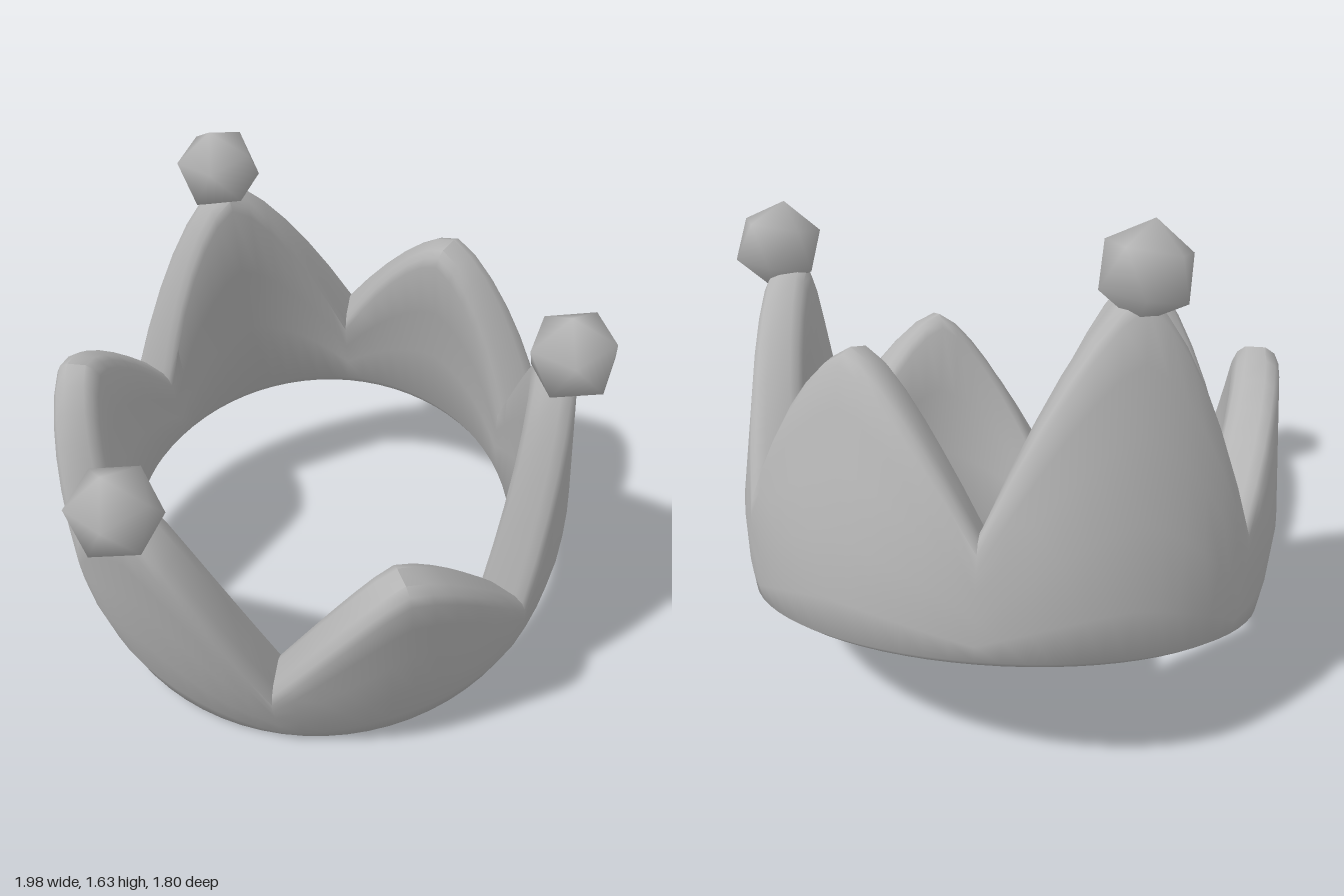
import * as THREE from 'three';
import { toCreasedNormals } from 'three/addons/utils/BufferGeometryUtils.js';

const PETALS = 6, STEPS = 12, VALLEY = 0.36;
const TALL = 1.03, SHORT = 0.83;

// Height of the crest at an angle: tall points at 30, 150, 270 degrees, short ones between
function crestHeight(i) {
  const petal = Math.floor(i / STEPS) % PETALS;
  const t = Math.abs((i % STEPS) / STEPS * 2 - 1);
  const tip = petal % 2 === 0 ? TALL : SHORT;
  return VALLEY + (tip - VALLEY) * (1 - Math.pow(t, 1.45));
}

// Outer radius of the slightly barrelled wall
function outerRadius(h) {
  if (h < 0.27) return THREE.MathUtils.lerp(0.835, 0.87, Math.max(h, 0) / 0.27);
  return THREE.MathUtils.lerp(0.87, 0.83, (h - 0.27) / 0.76);
}

// Cross-section of the wall, from the inner foot round the outside and back down
function section(H) {
  const pts = [[0.685, 0.04], [0.71, -0.01], [0.79, -0.02], [0.825, 0.0]];
  const top = H - 0.05;
  for (const f of [0.15, 0.4, 0.65, 0.85, 1]) pts.push([outerRadius(top * f), top * f]);
  const ro = outerRadius(top);
  pts.push([ro - 0.015, H - 0.018], [ro - 0.045, H], [0.735, H], [0.71, H - 0.018], [0.695, top]);
  for (const f of [0.7, 0.4]) pts.push([0.695, top * f]);
  return pts;
}

function wallGeometry() {
  const pos = [], idx = [], N = PETALS * STEPS;
  let M = 0;
  for (let i = 0; i < N; i++) {
    const a = i / N * Math.PI * 2;
    const pts = section(crestHeight(i));
    M = pts.length;
    for (const [r, h] of pts) pos.push(Math.sin(a) * r, h, Math.cos(a) * r);
  }
  for (let i = 0; i < N; i++) {
    for (let j = 0; j < M; j++) {
      const k = (i + 1) % N, l = (j + 1) % M;
      const a = i * M + j, b = k * M + j, c = i * M + l, d = k * M + l;
      idx.push(a, b, c, b, d, c);
    }
  }
  const g = new THREE.BufferGeometry();
  g.setAttribute('position', new THREE.Float32BufferAttribute(pos, 3));
  g.setIndex(idx);
  return toCreasedNormals(g, 0.9);
}

// Coarse ball with smooth shading
function ballGeometry() {
  const g = new THREE.IcosahedronGeometry(0.145, 0);
  const p = g.attributes.position, n = g.attributes.normal, v = new THREE.Vector3();
  for (let i = 0; i < p.count; i++) {
    v.fromBufferAttribute(p, i).normalize();
    n.setXYZ(i, v.x, v.y, v.z);
  }
  return g;
}

export function createModel() {
  const grey = new THREE.MeshStandardMaterial({ color: 0xb4b4b4 });
  grey.name = 'grey';
  const model = new THREE.Group();
  model.name = 'crown';

  // Tilted frame of the crown
  const up = new THREE.Vector3(-0.28, 1, 0.15).normalize();
  const side = new THREE.Vector3(0.963, 0.27, 0).normalize();
  const front = new THREE.Vector3().crossVectors(side, up).normalize();
  side.crossVectors(up, front);
  const frame = new THREE.Matrix4().makeBasis(side, up, front).setPosition(0.19, 0.262, -0.06);

  // Band with six points
  const band = new THREE.Mesh(wallGeometry(), grey);
  band.name = 'band';
  band.quaternion.setFromRotationMatrix(frame);
  band.position.setFromMatrixPosition(frame);
  model.add(band);

  // Balls on the three tall points
  const ball = ballGeometry();
  for (let i = 0; i < 3; i++) {
    const a = Math.PI / 6 + i * Math.PI * 2 / 3;
    const m = new THREE.Mesh(ball, grey);
    m.name = 'ball' + (i + 1);
    m.position.set(Math.sin(a) * 0.81, 1.08, Math.cos(a) * 0.81).applyMatrix4(frame);
    m.rotation.z = -0.29;
    model.add(m);
  }
  return model;
}
